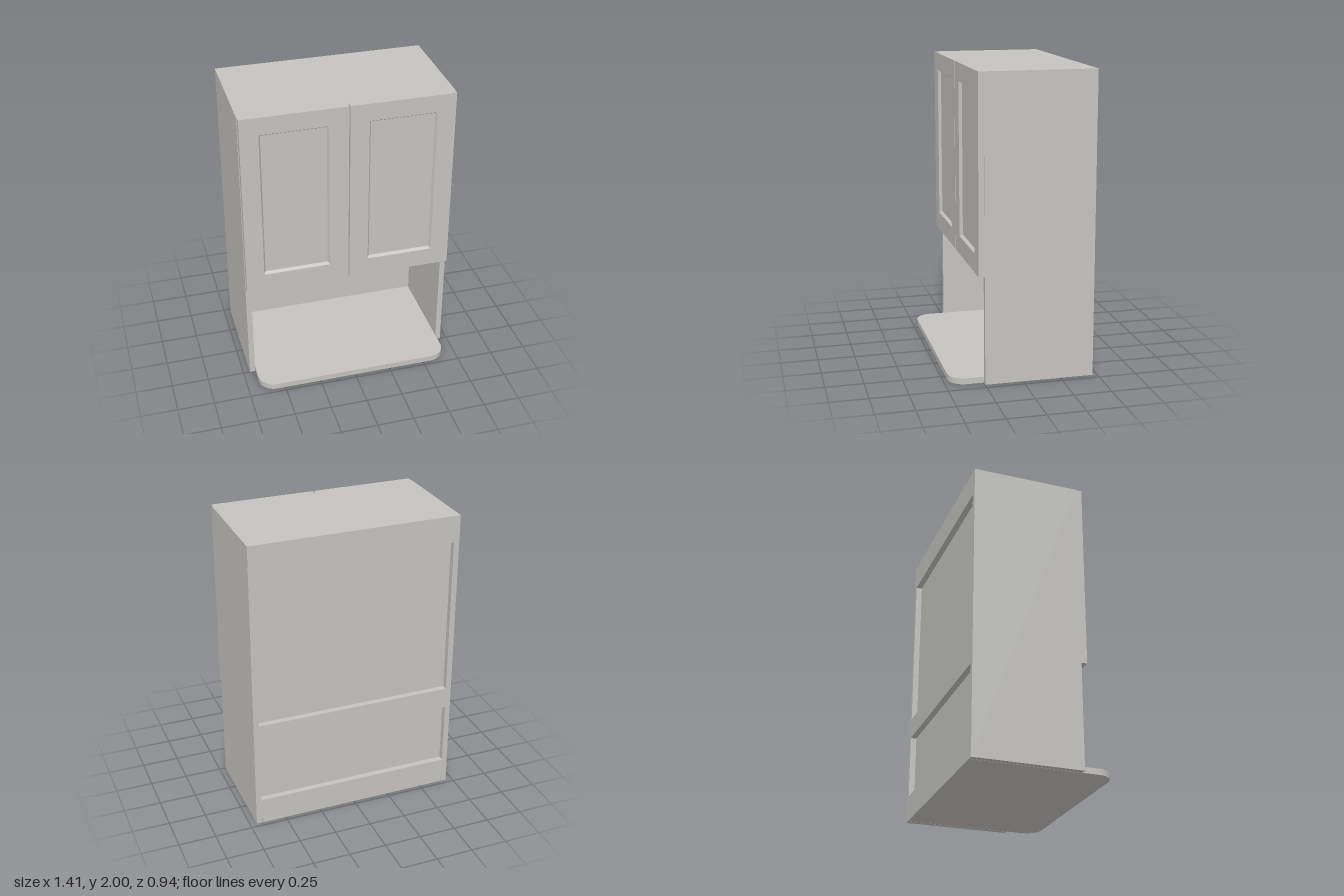
import * as THREE from 'three';

export function createModel() {
  const cabinet = new THREE.Group();
  cabinet.name = 'cabinet';
  const paint = new THREE.MeshStandardMaterial({ color: 0xc4c3bf });
  paint.name = 'warm grey paint';

  function add(name, geometry, parent = cabinet) {
    const mesh = new THREE.Mesh(geometry, paint);
    mesh.name = name;
    parent.add(mesh);
    return mesh;
  }

  // board given by its lower and upper corner
  function board(name, [x0, y0, z0], [x1, y1, z1], parent) {
    const geometry = new THREE.BoxGeometry(x1 - x0, y1 - y0, z1 - z0);
    geometry.translate((x0 + x1) / 2, (y0 + y1) / 2, (z0 + z1) / 2);
    return add(name, geometry, parent);
  }

  const W = 0.705, IN = 0.668, BACK = -0.47, FRONT = 0.25;

  // carcass
  board('leftSide', [IN, 0, BACK], [W, 2, FRONT]);
  board('rightSide', [-W, 0, BACK], [-IN, 2, FRONT]);
  board('topBoard', [-IN, 1.96, -0.37], [IN, 2, FRONT]);
  board('cabinetFloor', [-IN, 0.715, -0.37], [IN, 0.753, FRONT]);

  // back: three rails and two recessed panels
  board('backTopRail', [-IN, 1.82, BACK], [IN, 2, -0.37]);
  board('backMiddleRail', [-IN, 0.61, BACK], [IN, 0.753, -0.37]);
  board('backBottomRail', [-IN, 0.04, BACK], [IN, 0.18, -0.37]);
  board('upperBackPanel', [-IN, 0.753, -0.43], [IN, 1.82, -0.37]);
  board('lowerBackPanel', [-IN, 0.18, -0.43], [IN, 0.61, -0.37]);

  // bottom board, projecting at the front with rounded corners
  const R = 0.11, tip = 0.47, sx = 0.666;
  const outline = new THREE.Shape();
  outline.moveTo(-sx, -BACK);
  outline.lineTo(-sx, -(tip - R));
  outline.absarc(-sx + R, -(tip - R), R, Math.PI, Math.PI * 1.5, false);
  outline.lineTo(sx - R, -tip);
  outline.absarc(sx - R, -(tip - R), R, Math.PI * 1.5, Math.PI * 2, false);
  outline.lineTo(sx, -BACK);
  outline.closePath();
  const shelf = new THREE.ExtrudeGeometry(outline, { depth: 0.04, bevelEnabled: false, curveSegments: 12 });
  shelf.rotateX(-Math.PI / 2);
  add('bottomShelf', shelf);

  // rectangle corners, anticlockwise
  const rect = (x0, y0, x1, y1) => [[x0, y0], [x1, y0], [x1, y1], [x0, y1]];
  const toPath = (Kind, corners) => new Kind(corners.map(([x, y]) => new THREE.Vector2(x, y)));

  // sloping moulding between the door frame and the sunken panel
  function moulding(outer, inner, zOuter, zInner) {
    const points = [];
    for (let i = 0; i < 4; i++) {
      const j = (i + 1) % 4;
      const a = [...outer[i], zOuter], b = [...outer[j], zOuter];
      const c = [...inner[j], zInner], d = [...inner[i], zInner];
      points.push(...a, ...b, ...c, ...a, ...c, ...d);
    }
    const geometry = new THREE.BufferGeometry();
    geometry.setAttribute('position', new THREE.Float32BufferAttribute(points, 3));
    geometry.computeVertexNormals();
    return geometry;
  }

  // pair of framed doors
  for (const side of [1, -1]) {
    const door = new THREE.Group();
    door.name = side > 0 ? 'leftDoor' : 'rightDoor';
    cabinet.add(door);
    const span = (near, far) => (side > 0 ? [near, far] : [-far, -near]);
    const [dx0, dx1] = span(0.004, 0.701);
    const [px0, px1] = span(0.13, 0.58);
    const opening = rect(px0, 0.84, px1, 1.88);
    const sunken = rect(px0 + 0.013, 0.853, px1 - 0.013, 1.867);

    const frame = toPath(THREE.Shape, rect(dx0, 0.715, dx1, 2));
    frame.holes.push(toPath(THREE.Path, opening));
    const frameGeometry = new THREE.ExtrudeGeometry(frame, { depth: 0.04, bevelEnabled: false });
    frameGeometry.translate(0, 0, FRONT);
    add('doorFrame', frameGeometry, door);
    add('doorMoulding', moulding(opening, sunken, 0.29, 0.27), door);
    board('doorPanel', [px0, 0.84, FRONT], [px1, 1.88, 0.27], door);
  }

  return cabinet;
}
